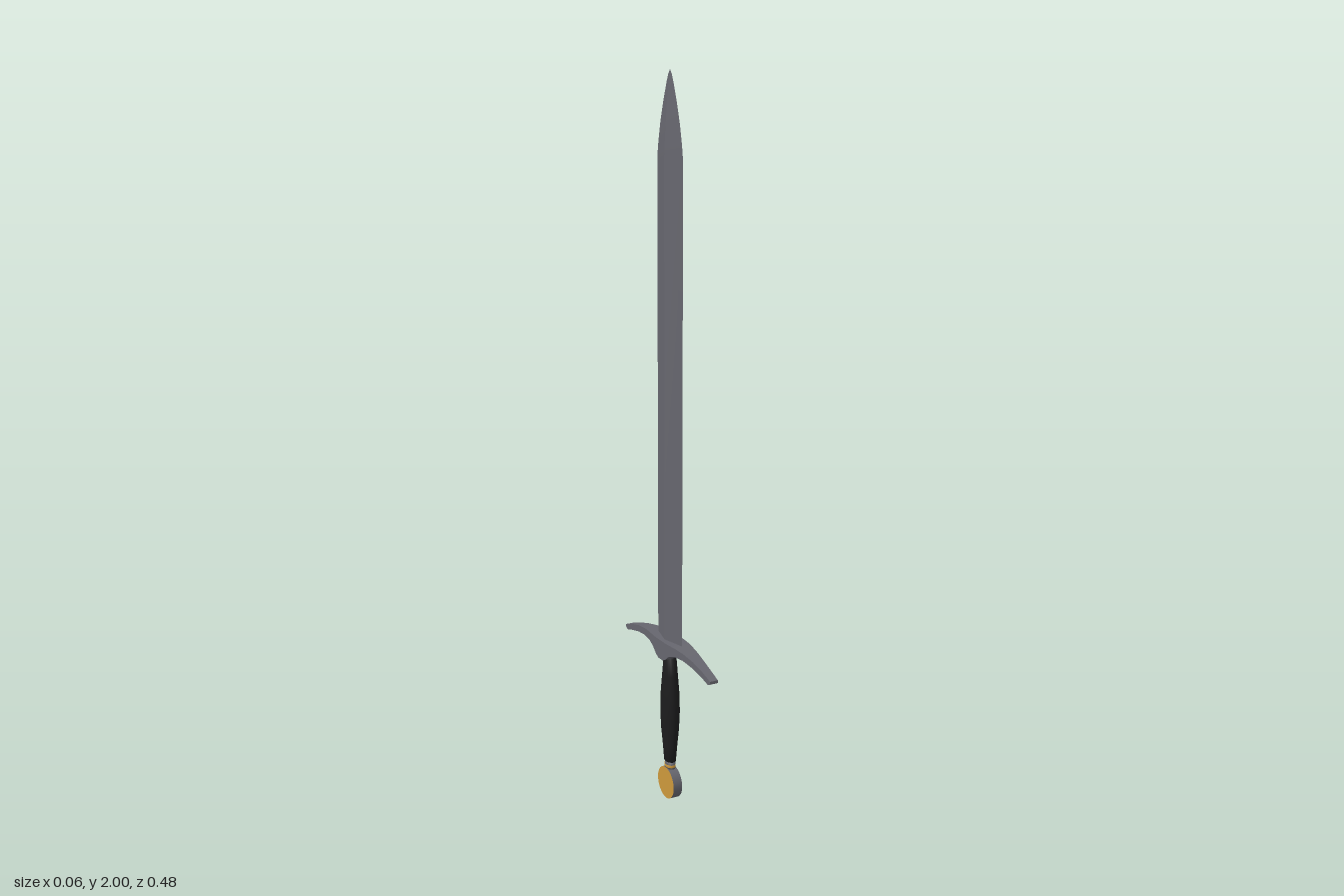
import * as THREE from 'three';
import { toCreasedNormals } from 'three/addons/utils/BufferGeometryUtils.js';

const material = (name, color) => {
  const m = new THREE.MeshStandardMaterial({ color });
  m.name = name;
  return m;
};

// Skin a row of equal-sized rings, each counter-clockwise seen from the far end, and cap both ends.
function loft(rings, crease) {
  const n = rings[0].length, last = (rings.length - 1) * n, index = [];
  for (let r = 0; r < rings.length - 1; r++) {
    for (let i = 0; i < n; i++) {
      const a = r * n + i, b = r * n + (i + 1) % n;
      index.push(a, b, b + n, a, b + n, a + n);
    }
  }
  for (let i = 1; i < n - 1; i++) {
    index.push(0, i + 1, i, last, last + i, last + i + 1);
  }
  const g = new THREE.BufferGeometry();
  g.setAttribute('position', new THREE.Float32BufferAttribute(rings.flat(2), 3));
  g.setIndex(index);
  return toCreasedNormals(g, crease);
}

export function createModel() {
  const steel = material('steel', 0x66666e);
  const leather = material('blackLeather', 0x1c1c1d);
  const gold = material('gold', 0xcc983c);

  const sword = new THREE.Group();
  sword.name = 'sword';
  const add = (name, geometry, mat) => {
    const mesh = new THREE.Mesh(geometry, mat);
    mesh.name = name;
    sword.add(mesh);
    return mesh;
  };

  // Blade: diamond section with a curved point; [y, half width, half thickness]
  const blade = [
    [0.45, 0.068, 0.017], [1.78, 0.068, 0.017], [1.82, 0.062, 0.0155],
    [1.87, 0.051, 0.0125], [1.92, 0.036, 0.009], [1.97, 0.018, 0.0045], [1.99, 0.009, 0.002], [2, 0.001, 0.0005],
  ];
  add('blade', loft(blade.map(([y, w, t]) => [[0, y, w], [t, y, 0], [0, y, -w], [-t, y, 0]]), 0.25), steel);

  // Crossguard: one arched half, mirrored; [z, top, bottom, half depth]
  const half = [
    [0.012, 0.476, 0.421, 0.03], [0.025, 0.476, 0.427, 0.03], [0.045, 0.476, 0.443, 0.029],
    [0.07, 0.476, 0.452, 0.026], [0.11, 0.473, 0.453, 0.021], [0.155, 0.465, 0.446, 0.016],
    [0.2, 0.453, 0.435, 0.013], [0.23, 0.443, 0.426, 0.012], [0.24, 0.439, 0.431, 0.012],
  ];
  const guard = [...half.map(([z, ...rest]) => [-z, ...rest]).reverse(), ...half];
  add('crossguard', loft(guard.map(([z, top, bottom, d]) =>
    [[d, bottom, z], [d, top, z], [-d, top, z], [-d, bottom, z]]), 0.6), steel);

  // Oval turned parts; points are [radius along z, y]
  const turned = (points, flatten) => new THREE.LatheGeometry(
    points.map(([r, y]) => new THREE.Vector2(r, y)), 20).scale(flatten, 1, 1);

  // Swelling grip
  add('grip', turned([
    [0, 0.112], [0.021, 0.112], [0.026, 0.16], [0.032, 0.21], [0.035, 0.265],
    [0.033, 0.32], [0.028, 0.37], [0.022, 0.43], [0, 0.43],
  ], 0.7), leather);

  // Collar and thin gold ring below the grip
  add('collar', turned([[0, 0.09], [0.019, 0.09], [0.019, 0.113], [0, 0.113]], 0.7), steel);
  add('collarRing', turned([[0.019, 0.095], [0.0205, 0.095], [0.0205, 0.102], [0.019, 0.102]], 0.7), gold);

  // Disc pommel: steel rim, gold faces
  const pommel = add('pommel', new THREE.CylinderGeometry(0.046, 0.046, 0.027, 32), [steel, gold, gold]);
  pommel.rotation.z = Math.PI / 2;
  pommel.position.y = 0.046;

  return sword;
}
